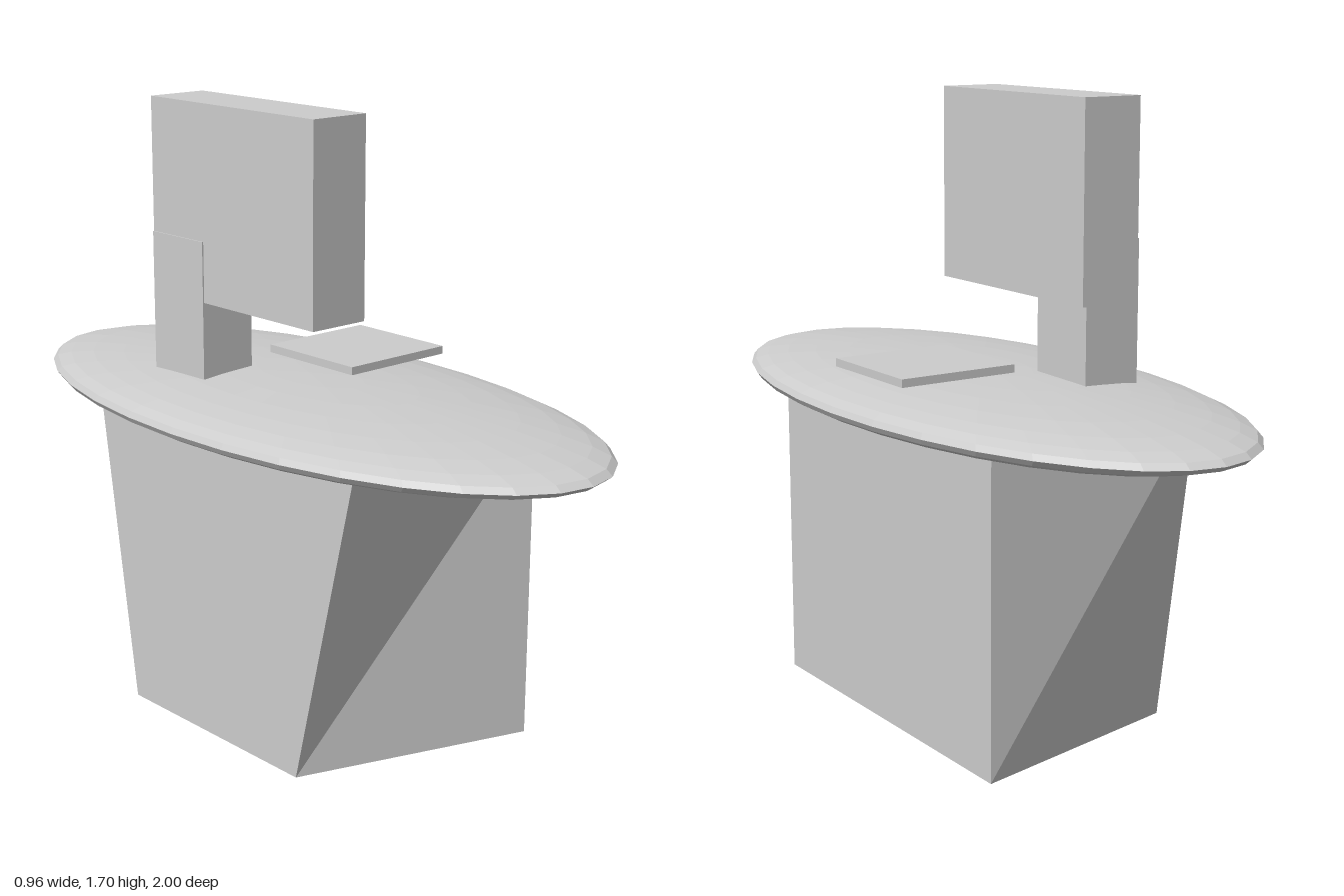
import * as THREE from 'three';

export function createModel() {
  const group = new THREE.Group();
  const grey = new THREE.MeshStandardMaterial({ color: 0xcccccc });
  grey.name = 'plainGrey';
  grey.flatShading = true;

  const add = (name, geometry) => {
    const mesh = new THREE.Mesh(geometry, grey);
    mesh.name = name;
    group.add(mesh);
    return mesh;
  };

  // Box given by its lowest and highest corners
  const box = (x0, y0, z0, x1, y1, z1) =>
    new THREE.BoxGeometry(x1 - x0, y1 - y0, z1 - z0)
      .translate((x0 + x1) / 2, (y0 + y1) / 2, (z0 + z1) / 2);

  // Pedestal: the bottom edge on the -x side is drawn in at both ends
  const pedestal = box(-0.342, 0, -0.49, 0.307, 0.89, 0.545);
  const p = pedestal.attributes.position;
  for (let i = 0; i < p.count; i++) {
    if (p.getX(i) < 0 && p.getY(i) < 0.1) p.setZ(i, p.getZ(i) > 0 ? 0.33 : -0.355);
  }
  pedestal.computeVertexNormals();
  add('pedestal', pedestal);

  // Table top: a flattened, elongated ellipsoid
  add('tableTop', new THREE.SphereGeometry(1, 32, 16)
    .scale(0.478, 0.077, 1).translate(0, 0.893, 0));

  // Screen on an offset stand that rises a little behind it
  add('screenStand', box(-0.234, 0.92, -0.374, -0.066, 1.335, -0.162));
  add('screen', box(-0.23, 1.17, -0.375, -0.054, 1.7, 0.272));

  // Thin keyboard slab
  add('keyboard', box(0.035, 0.982, -0.2, 0.381, 1.004, 0.133));

  return group;
}
